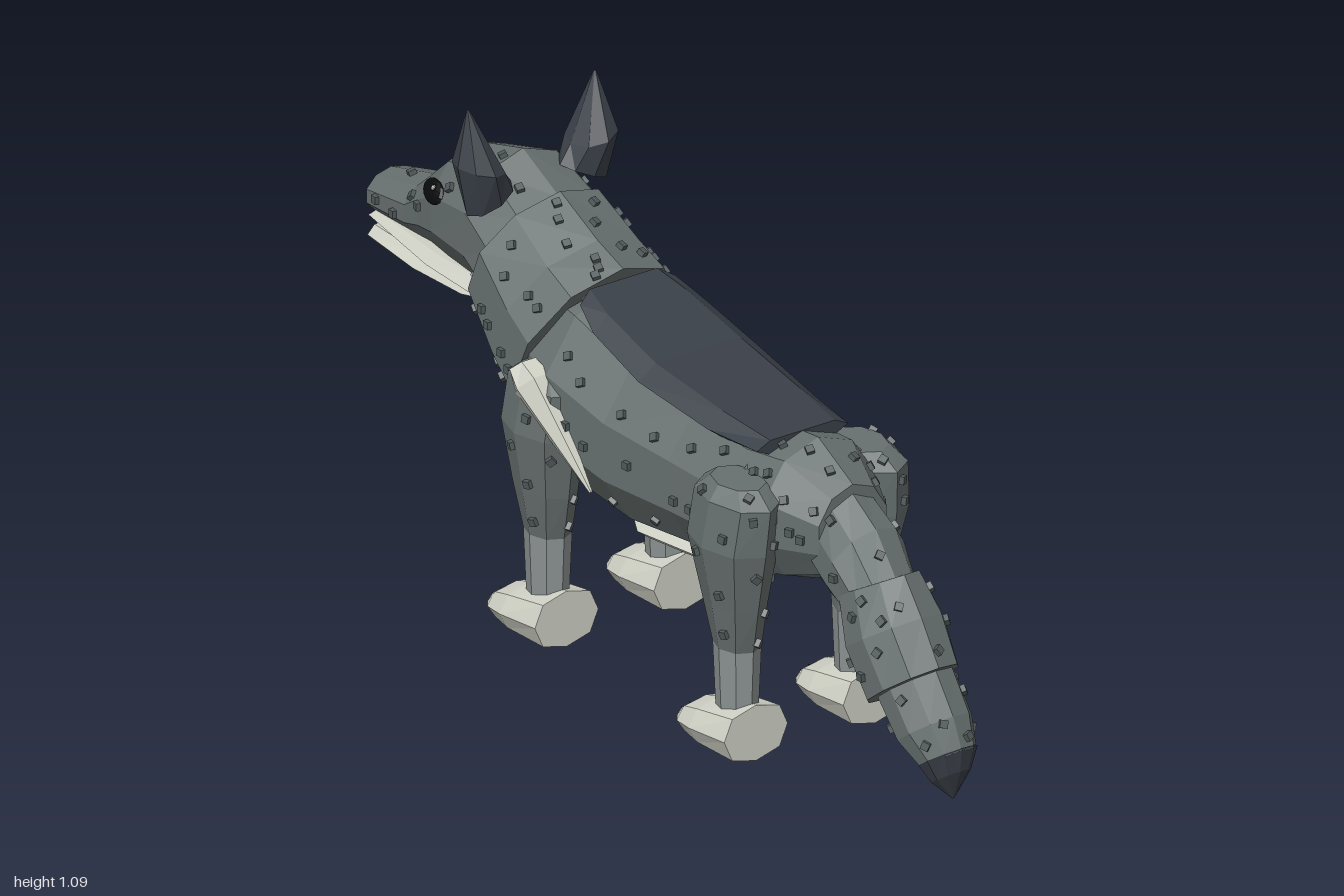
import * as THREE from 'three';
import { mergeGeometries } from 'three/addons/utils/BufferGeometryUtils.js';

const V = (x, y, z) => new THREE.Vector3(x, y, z);

// Ring through a top and a bottom point on the centre plane, with half width w
const band = ([zt, yt, zb, yb, w]) => ({
  c: V(0, (yt + yb) / 2, (zt + zb) / 2),
  u: V(w, 0, 0),
  v: V(0, (yt - yb) / 2, (zt - zb) / 2),
});
// Upright ring: z, top, bottom, half width, x
const slice = ([z, t, b, w, x = 0]) => ({ c: V(x, (t + b) / 2, z), u: V(w, 0, 0), v: V(0, (t - b) / 2, 0) });
// Level ring: x, y, z, half width, half depth, tilt of the ring
const level = ([x, y, z, rx, rz, tilt = 0]) => ({ c: V(x, y, z), u: V(rx, tilt, 0), v: V(0, 0, rz) });

// Flat-shaded skin over a list of rings; p below 1 makes the rings boxier
function loft(rings, n = 10, p = 1) {
  const pow = (a) => Math.sign(a) * Math.abs(a) ** p;
  const pts = rings.map(({ c, u, v }) => Array.from({ length: n }, (_, i) => {
    const a = (i / n) * Math.PI * 2 + (n === 6 ? 0 : Math.PI / 2);
    return c.clone().addScaledVector(u, pow(Math.cos(a))).addScaledVector(v, pow(Math.sin(a)));
  }));
  const tris = [];
  for (let k = 0; k < rings.length - 1; k++) {
    for (let i = 0; i < n; i++) {
      const j = (i + 1) % n;
      const [a, b, c, d] = [pts[k][i], pts[k][j], pts[k + 1][j], pts[k + 1][i]];
      tris.push([a, b, c], [a, c, d]);
    }
  }
  const last = rings.length - 1;
  for (let i = 0; i < n; i++) {
    const j = (i + 1) % n;
    tris.push([rings[0].c, pts[0][j], pts[0][i]], [rings[last].c, pts[last][i], pts[last][j]]);
  }
  // Turn the faces outward
  const volume = tris.reduce((s, [a, b, c]) => s + a.dot(b.clone().cross(c)), 0);
  if (volume < 0) tris.forEach((t) => t.reverse());
  const g = new THREE.BufferGeometry().setFromPoints(tris.flat());
  g.computeVertexNormals();
  g.userData = { pts };
  return g;
}

// Small square studs scattered over a loft
let seed = 7;
const rnd = () => (seed = (seed * 16807) % 2147483647) / 2147483647;
function studs(geo, count) {
  const { pts } = geo.userData, n = pts[0].length, boxes = [];
  for (let m = 0; m < count; m++) {
    const t = ((m + rnd() * 0.8) / count) * (pts.length - 1);
    const k = Math.min(Math.floor(t), pts.length - 2);
    const f = 0.1 + (t - k) * 0.8, e = 0.2 + rnd() * 0.6;
    // Keep clear of the underside
    let i = Math.floor((m * 0.618 + rnd() * 0.1) % 1 * n * 0.7 + n * 0.65) % n;
    const j = (i + 1) % n;
    const a = pts[k][i].clone().lerp(pts[k][j], e), b = pts[k + 1][i].clone().lerp(pts[k + 1][j], e);
    const pos = a.clone().lerp(b, f);
    const normal = b.sub(a).cross(pts[k][j].clone().sub(pts[k][i])).normalize();
    const q = new THREE.Quaternion().setFromUnitVectors(V(0, 0, 1), normal);
    boxes.push(new THREE.BoxGeometry(0.017, 0.017, 0.02).applyQuaternion(q).translate(pos.x, pos.y, pos.z));
  }
  return mergeGeometries(boxes);
}

export function createModel() {
  const model = new THREE.Group();
  const mat = (name, color) => {
    const m = new THREE.MeshStandardMaterial({ color, flatShading: true });
    m.name = name;
    return m;
  };
  const grey = mat('greyHide', 0x687170), dark = mat('darkSlate', 0x3a4048), pale = mat('paleCream', 0xd0d2c6);
  const light = mat('lightGrey', 0x8c9392), black = mat('black', 0x0a0b0c), studGrey = mat('studGrey', 0x525a5b);

  const add = (name, geo, material, studCount = 0) => {
    const mesh = new THREE.Mesh(geo, material);
    mesh.name = name;
    model.add(mesh);
    if (studCount) add(name + 'Studs', studs(geo, studCount), studGrey);
    return mesh;
  };

  // Torso, saddle and belly plate
  add('torso', loft([
    [0.62, 0.64, 0.43, 0.09], [0.5, 0.7, 0.38, 0.145], [0.38, 0.685, 0.35, 0.16], [0.2, 0.7, 0.335, 0.17],
    [0, 0.73, 0.31, 0.19], [-0.18, 0.785, 0.33, 0.205], [-0.33, 0.78, 0.39, 0.17],
  ].map(slice)), grey, 75);
  add('saddle', loft([
    [0.445, 0.695, 0.445, 0.66, 0.115], [0.3, 0.71, 0.3, 0.645, 0.135], [0.08, 0.735, 0.08, 0.67, 0.15],
    [-0.1, 0.775, -0.08, 0.71, 0.14], [-0.18, 0.795, -0.15, 0.75, 0.12],
  ].map(band), 6, 0.5), dark);
  add('bellyPlate', loft([
    [0.36, 0.375, 0.335, 0.06], [0.2, 0.36, 0.315, 0.09], [0, 0.34, 0.293, 0.095], [-0.07, 0.35, 0.315, 0.06],
  ].map(slice), 6, 0.5), pale);

  // Neck and head
  add('neck', loft([
    [-0.18, 0.815, -0.38, 0.4, 0.2], [-0.27, 0.845, -0.44, 0.47, 0.195], [-0.4, 0.905, -0.53, 0.59, 0.18],
  ].map(band)), grey, 32);
  add('head', loft([
    [-0.4, 0.89, -0.5, 0.63, 0.165], [-0.53, 0.952, -0.55, 0.63, 0.148], [-0.69, 0.905, -0.69, 0.64, 0.122],
    [-0.77, 0.83, -0.77, 0.645, 0.098], [-0.83, 0.775, -0.83, 0.642, 0.087], [-0.99, 0.73, -0.99, 0.63, 0.065],
  ].map(band)), grey, 20);
  add('upperLip', loft([
    [-0.53, 0.68, 0.652, 0.14], [-0.7, 0.665, 0.645, 0.122], [-0.98, 0.648, 0.636, 0.064],
  ].map(slice), 6, 0.5), pale);
  add('lowerJaw', loft([
    [-0.52, 0.655, 0.625, 0.1], [-0.6, 0.642, 0.603, 0.105], [-0.8, 0.618, 0.574, 0.082], [-1, 0.606, 0.565, 0.052],
  ].map(slice), 6, 0.6), pale);
  const nose = add('nose', new THREE.CylinderGeometry(0.04, 0.04, 0.008, 12).rotateX(Math.PI / 2), black);
  nose.scale.y = 0.8;
  nose.position.set(0, 0.685, -0.991);

  // Tail
  add('tailRoot', loft([
    [0.6, 0.63, 0.53, 0.43, 0.085], [0.7, 0.57, 0.62, 0.39, 0.095], [0.79, 0.46, 0.66, 0.37, 0.08],
  ].map(band)), grey, 6);
  add('tailBrush', loft([
    [0.8, 0.505, 0.62, 0.4, 0.085], [0.86, 0.43, 0.67, 0.3, 0.107], [0.92, 0.34, 0.74, 0.2, 0.1],
  ].map(band)), grey, 14);
  add('tailEnd', loft([
    [0.91, 0.33, 0.77, 0.22, 0.085], [0.97, 0.25, 0.84, 0.15, 0.083], [1, 0.185, 0.91, 0.115, 0.063],
  ].map(band)), grey, 9);
  add('tailTip', loft([
    [1, 0.19, 0.905, 0.12, 0.067], [0.995, 0.135, 0.93, 0.09, 0.045], [0.972, 0.066, 0.97, 0.064, 0.002],
  ].map(band)), dark);

  for (const s of [1, -1]) {
    const side = s > 0 ? 'left' : 'right';

    // Ears
    add(side + 'Ear', loft([
      [s * 0.117, 0.888, -0.487, s * 0.055, 0.045, -0.025], [s * 0.142, 0.965, -0.487, s * 0.053, 0.06, 0.012],
      [s * 0.16, 1.095, -0.5, s * 0.003, 0.003],
    ].map(level), 8), dark);

    // Eyes with glints
    const eye = new THREE.Group();
    eye.name = side + 'Eye';
    const disc = new THREE.Mesh(new THREE.SphereGeometry(1, 12, 8).scale(0.01, 0.026, 0.042), black);
    disc.name = 'eyeball';
    const glint = new THREE.Mesh(new THREE.SphereGeometry(0.006, 6, 4), pale);
    glint.name = 'glint';
    glint.position.set(s * 0.008, 0.01, 0.008);
    eye.add(disc, glint);
    eye.position.set(s * 0.113, 0.825, -0.685);
    eye.rotation.set(0, s * 0.2, s * 0.4);
    model.add(eye);

    // Shoulder blades
    const from = V(s * 0.205, 0.63, -0.245), to = V(s * 0.19, 0.42, -0.03);
    const axis = to.clone().sub(from), across = V(0, axis.z, -axis.y).normalize();
    const cut = (t, w, h) => ({
      c: from.clone().addScaledVector(axis, t), u: V(w, 0, 0), v: across.clone().multiplyScalar(h),
    });
    add(side + 'ShoulderBlade', loft([cut(0, 0.035, 0.03), cut(0.15, 0.042, 0.05), cut(1, 0.004, 0.004)], 6), pale);

    // Legs: z of the centre line and a size factor for the upper part
    for (const [name, z, k] of [['RearLeg', 0.43, 1], ['FrontLeg', -0.23, 0.93]]) {
      const x = s * 0.15;
      add(side + name, loft([
        [s * 0.155, 0.625, z + 0.005, 0.05 * k, 0.07 * k], [s * 0.16, 0.595, z + 0.01, 0.072 * k, 0.115 * k],
        [s * 0.165, 0.49, z, 0.08 * k, 0.115 * k], [s * 0.158, 0.35, z - 0.003, 0.058, 0.082], [x, 0.245, z - 0.006, 0.046, 0.057],
      ].map(level), 8), grey, 16);
      add(side + name + 'Shin', loft([
        [x, 0.245, z - 0.006, 0.046, 0.057], [x, 0.09, z - 0.006, 0.04, 0.05],
      ].map(level), 8), light);

      // Paw and claws
      add(side + name + 'Paw', loft([
        [z + 0.06, 0.13, 0.004, 0.08, x], [z - 0.06, 0.105, 0.004, 0.083, x],
        [z - 0.115, 0.085, 0.01, 0.073, x], [z - 0.147, 0.06, 0.02, 0.05, x],
      ].map(slice), 8, 0.85), pale);
      for (let i = 0; i < 4; i++) {
        const off = (i - 1.5) * 0.027;
        const claw = add(side + name + 'Claw', new THREE.ConeGeometry(0.008, 0.045, 5).rotateX(-Math.PI / 2), black);
        claw.position.set(x + off, 0.06, z - 0.137 + Math.abs(off) * 0.3);
        claw.rotation.x = -0.12;
      }
    }
  }
  return model;
}
